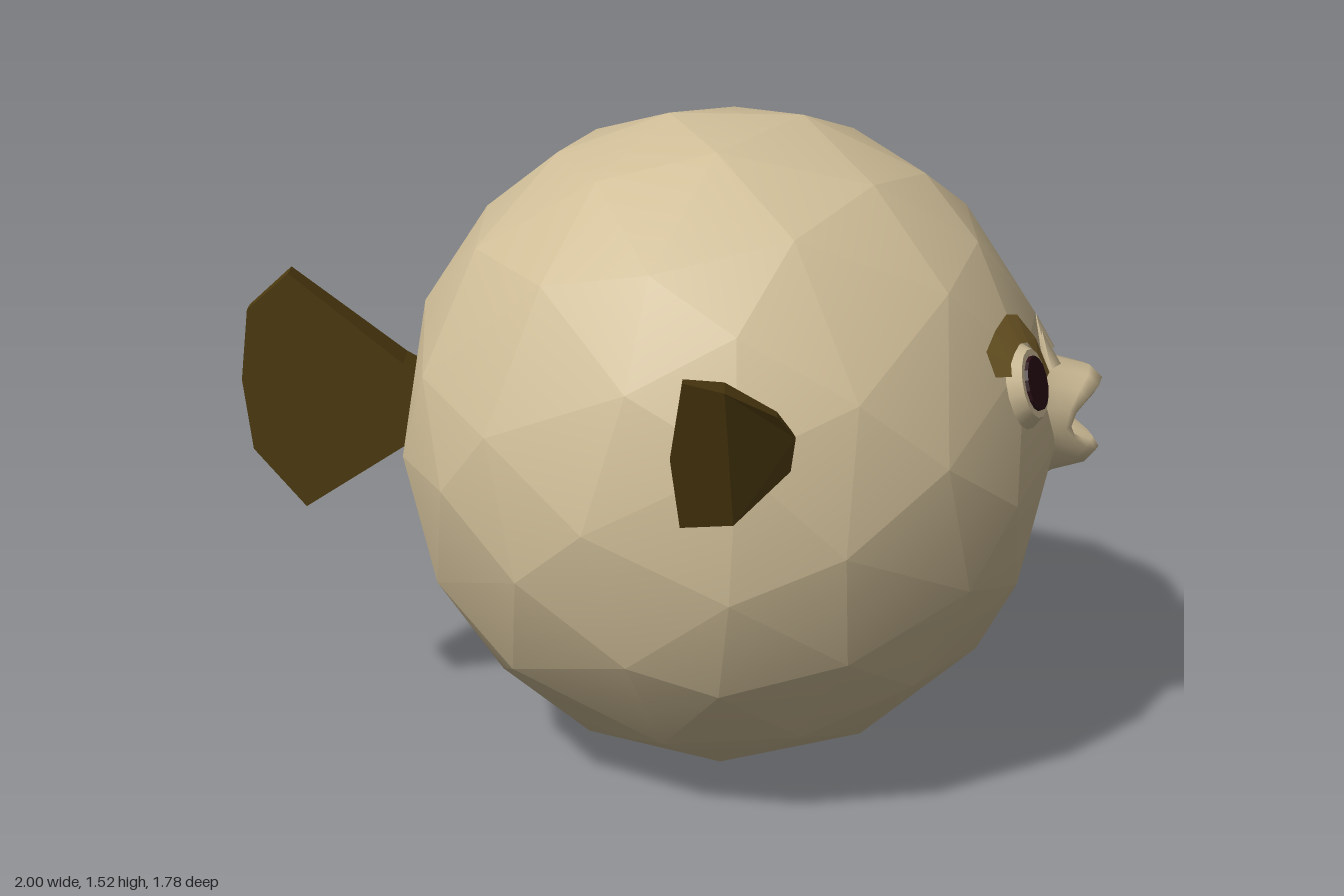
import * as THREE from 'three';

const material = (name, color, side = THREE.FrontSide, flatShading = true) =>
  Object.assign(new THREE.MeshStandardMaterial({ color, side, flatShading }), { name });

const CENTER = new THREE.Vector3(0.13, 0.77, 0);
const RADII = new THREE.Vector3(0.767, 0.775, 0.752);

// x of the body surface on the face side, for a given y and z
function faceX(y, z, grow = 1) {
  const v = (y - CENTER.y) / (RADII.y * grow), w = z / (RADII.z * grow);
  return CENTER.x + RADII.x * grow * Math.sqrt(1 - v * v - w * w);
}

function meshFrom(positions, index, mat, name) {
  const g = new THREE.BufferGeometry();
  g.setAttribute('position', new THREE.Float32BufferAttribute(positions, 3));
  g.setIndex(index);
  g.computeVertexNormals();
  const mesh = new THREE.Mesh(g, mat);
  mesh.name = name;
  return mesh;
}

// Faceted ball with slightly uneven facets and softened edges
function bodyGeometry() {
  const g = new THREE.IcosahedronGeometry(1, 2);
  const p = g.attributes.position, v = new THREE.Vector3(), dirs = [];
  for (let i = 0; i < p.count; i++) {
    v.fromBufferAttribute(p, i);
    const { x, y, z } = v;
    v.x += 0.05 * Math.sin(9 * y + 5 * z);
    v.y += 0.05 * Math.sin(8 * z + 6 * x + 1);
    v.z += 0.05 * Math.sin(7 * x + 9 * y + 2);
    v.normalize();
    dirs.push(v.clone());
    v.multiply(RADII);
    p.setXYZ(i, v.x, v.y, v.z);
  }
  g.computeVertexNormals();
  const n = g.attributes.normal;
  for (let i = 0; i < n.count; i++) {
    v.fromBufferAttribute(n, i).lerp(dirs[i], 0.4).normalize();
    n.setXYZ(i, v.x, v.y, v.z);
  }
  return g;
}

// Thin fin from an outline; zMid and thickness vary along x
function finGeometry(outline, zMid, thickness) {
  const shape = new THREE.Shape(outline.map(([x, y]) => new THREE.Vector2(x, y)));
  const g = new THREE.ExtrudeGeometry(shape, { depth: 1, bevelEnabled: false });
  const p = g.attributes.position;
  for (let i = 0; i < p.count; i++) {
    const x = p.getX(i);
    p.setZ(i, zMid(x) + (p.getZ(i) - 0.5) * thickness(x));
  }
  g.computeVertexNormals();
  return g;
}

// Pouting lips: loops running out along x, then back into the mouth
function lips(mat) {
  const sides = 16, cy = 0.825;
  // x, extra x at top and bottom, half width, half height
  const rings = [
    [0.80, 0, 0.21, 0.19], [0.885, 0, 0.14, 0.135], [0.905, 0.065, 0.128, 0.115],
    [0.92, 0.08, 0.11, 0.085], [0.92, 0.065, 0.098, 0.06], [0.905, 0, 0.085, 0.035],
  ];
  const pos = [], idx = [];
  rings.forEach(([x, bulge, w, h], i) => {
    for (let j = 0; j < sides; j++) {
      const a = (j / sides) * Math.PI * 2, s = Math.sin(a);
      pos.push(x + bulge * s * s, cy + h * s, w * Math.cos(a));
      if (i === rings.length - 1) continue;
      const a0 = i * sides + j, b0 = i * sides + (j + 1) % sides;
      idx.push(a0, a0 + sides, b0, b0, a0 + sides, b0 + sides);
    }
  });
  return meshFrom(pos, idx, mat, 'lips');
}

// Arched brow lying on the face: pairs of outer and inner points as z, y
function brow(side, mat) {
  const outer = [[0.42, 1.045], [0.41, 1.1], [0.35, 1.13], [0.28, 1.145], [0.23, 1.13], [0.18, 1.06], [0.15, 0.97]];
  const inner = [[0.37, 1.03], [0.355, 1.055], [0.325, 1.07], [0.285, 1.08], [0.245, 1.07], [0.215, 1.03], [0.2, 0.97]];
  const pos = [], idx = [];
  outer.forEach((o, i) => {
    for (const [z, y] of [o, inner[i]]) pos.push(faceX(y, z, 1.005), y, z * side);
    if (i === 0) return;
    const k = 2 * i;
    const quad = [k - 2, k - 1, k, k, k - 1, k + 1];
    idx.push(...(side > 0 ? quad : quad.reverse()));
  });
  return meshFrom(pos, idx, mat, 'brow');
}

export function createModel() {
  const skinSoft = material('sand skin', 0xd0be98, THREE.FrontSide, false);
  const finBrown = material('dark fin brown', 0x4c390f, THREE.DoubleSide);
  const browBrown = material('brow brown', 0x84692f, THREE.DoubleSide);
  const mouthBrown = material('mouth ochre', 0x7a5c1c);
  const pupilDark = material('pupil dark', 0x2a0e15);

  const model = new THREE.Group();
  model.name = 'pufferfish';
  const add = (geometry, mat, name, parent = model) => {
    const mesh = new THREE.Mesh(geometry, mat);
    mesh.name = name;
    parent.add(mesh);
    return mesh;
  };

  add(bodyGeometry(), skinSoft, 'body').position.copy(CENTER);

  // Mouth
  model.add(lips(skinSoft));
  const mouth = add(new THREE.CircleGeometry(1, 12).rotateY(Math.PI / 2), mouthBrown, 'mouthInside');
  mouth.scale.set(1, 0.045, 0.09);
  mouth.position.set(0.907, 0.825, 0);

  // Tail, tapering towards its rear edge
  const tail = [[-0.52, 0.8], [-0.52, 0.89], [-0.62, 0.95], [-0.88, 1.16], [-0.98, 1.07],
    [-1, 0.9], [-0.98, 0.73], [-0.86, 0.59], [-0.62, 0.75]];
  add(finGeometry(tail, () => 0, x => 0.04 + 0.16 * (x + 1)), finBrown, 'tailFin');

  const sideFin = [[0.27, 1], [0.23, 1.06], [0.12, 1.145], [0.035, 1.18], [0.01, 1.02],
    [0.03, 0.87], [0.14, 0.855], [0.26, 0.93]];
  for (const side of [1, -1]) {
    const label = side > 0 ? 'left' : 'right';

    // Side fin, swept back and outwards
    add(finGeometry(sideFin, x => side * (0.69 + 0.75 * (0.27 - x)),
      x => 0.015 + 0.07 * Math.max(0, 1 - Math.abs(x - 0.14) / 0.13)), finBrown, label + 'SideFin');

    // Eye with a raised rim, facing out from the body
    const eye = new THREE.Group();
    eye.name = label + 'Eye';
    eye.position.set(faceX(0.985, 0.285, 0.99), 0.985, 0.285 * side);
    const out = eye.position.clone().sub(CENTER).normalize();
    eye.quaternion.setFromUnitVectors(new THREE.Vector3(0, 1, 0), out);
    add(new THREE.CylinderGeometry(0.078, 0.1, 0.03, 16), skinSoft, 'eyeRim', eye);
    add(new THREE.CylinderGeometry(0.061, 0.063, 0.009, 16), pupilDark, 'pupil', eye).position.y = 0.018;
    model.add(eye);

    model.add(brow(side, browBrown));

    // Small nostril ridge
    const nostril = add(new THREE.ConeGeometry(0.025, 0.09, 4), skinSoft, label + 'Nostril');
    nostril.position.set(faceX(1, 0.065), 1, 0.065 * side);
    nostril.rotation.z = 0.25;
  }
  return model;
}
